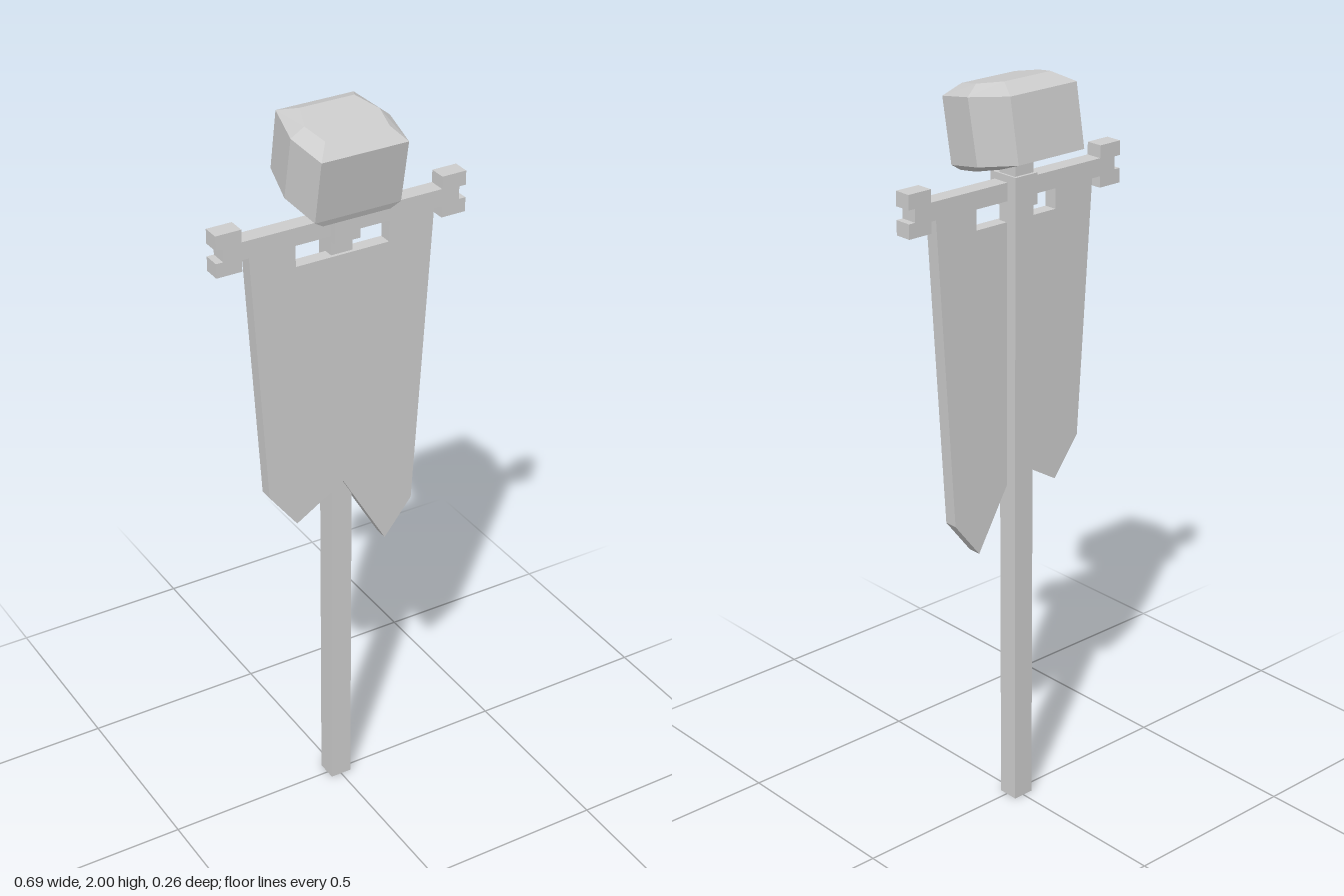
import * as THREE from 'three';

const grey = new THREE.MeshStandardMaterial({ color: 0xcccccc, flatShading: true });

function addMesh(group, name, geometry) {
  const mesh = new THREE.Mesh(geometry, grey);
  mesh.name = name;
  group.add(mesh);
}

// Box given by its half width and its y and z ranges
function post(halfX, y0, y1, z0, z1) {
  return new THREE.BoxGeometry(halfX * 2, y1 - y0, z1 - z0)
    .translate(0, (y0 + y1) / 2, (z0 + z1) / 2);
}

// Flat outline extruded between two z values
function slab(points, z0, z1) {
  const shape = new THREE.Shape(points.map(([x, y]) => new THREE.Vector2(x, y)));
  return new THREE.ExtrudeGeometry(shape, { depth: z1 - z0, bevelEnabled: false }).translate(0, 0, z0);
}

// Symmetric six-sided loops, bottom to top; each lists [halfWidth, y, z] for front, middle, back
function loftHex(sections) {
  const loops = sections.map(s => [
    ...s,
    ...s.slice().reverse().map(([x, y, z]) => [-x, y, z]),
  ]);
  const pos = [];
  const tri = (a, b, c) => pos.push(...a, ...b, ...c);
  for (let k = 0; k < loops.length - 1; k++) {
    for (let i = 0; i < 6; i++) {
      const j = (i + 1) % 6, lo = loops[k], hi = loops[k + 1];
      tri(lo[i], lo[j], hi[j]);
      tri(lo[i], hi[j], hi[i]);
    }
  }
  const bottom = loops[0], top = loops[loops.length - 1];
  for (let i = 1; i < 5; i++) {
    tri(bottom[0], bottom[i + 1], bottom[i]);
    tri(top[0], top[i], top[i + 1]);
  }
  const geometry = new THREE.BufferGeometry();
  geometry.setAttribute('position', new THREE.Float32BufferAttribute(pos, 3));
  geometry.computeVertexNormals();
  return geometry;
}

export function createModel() {
  const group = new THREE.Group();
  group.name = 'bannerStaff';

  // Square pole and the clasp holding the crossbar
  addMesh(group, 'pole', post(0.03, 0, 1.79, -0.034, 0.024));
  addMesh(group, 'clasp', post(0.036, 1.675, 1.755, -0.042, 0.05));

  // Crossbar with a notched block at each end
  const end = [
    [0.278, 1.69], [0.278, 1.66], [0.347, 1.66], [0.347, 1.698], [0.328, 1.698],
    [0.328, 1.732], [0.347, 1.732], [0.347, 1.77], [0.278, 1.77], [0.278, 1.737],
  ];
  const mirrored = end.slice().reverse().map(([x, y]) => [-x, y]);
  addMesh(group, 'crossbar', slab([...end, ...mirrored], -0.012, 0.034));

  // Ragged banner hanging from two tabs, open around the pole
  addMesh(group, 'banner', slab([
    [-0.26, 1.7], [-0.216, 1], [-0.137, 0.896], [0, 0.98], [0.127, 0.762], [0.206, 0.863],
    [0.257, 1.7], [0.128, 1.7], [0.128, 1.633], [-0.133, 1.633], [-0.133, 1.7],
  ], -0.003, 0.033));

  // Bevelled block on top, tipped forward
  addMesh(group, 'headBlock', loftHex([
    [[0.093, 1.757, 0.094], [0.1, 1.768, 0.03], [0.075, 1.781, -0.03]],
    [[0.118, 1.773, 0.1], [0.135, 1.795, -0.015], [0.107, 1.819, -0.131]],
    [[0.118, 1.939, 0.131], [0.135, 1.96, 0.018], [0.107, 1.98, -0.102]],
    [[0.087, 1.972, 0.095], [0.102, 1.986, 0.025], [0.075, 2, -0.045]],
  ]));

  return group;
}
